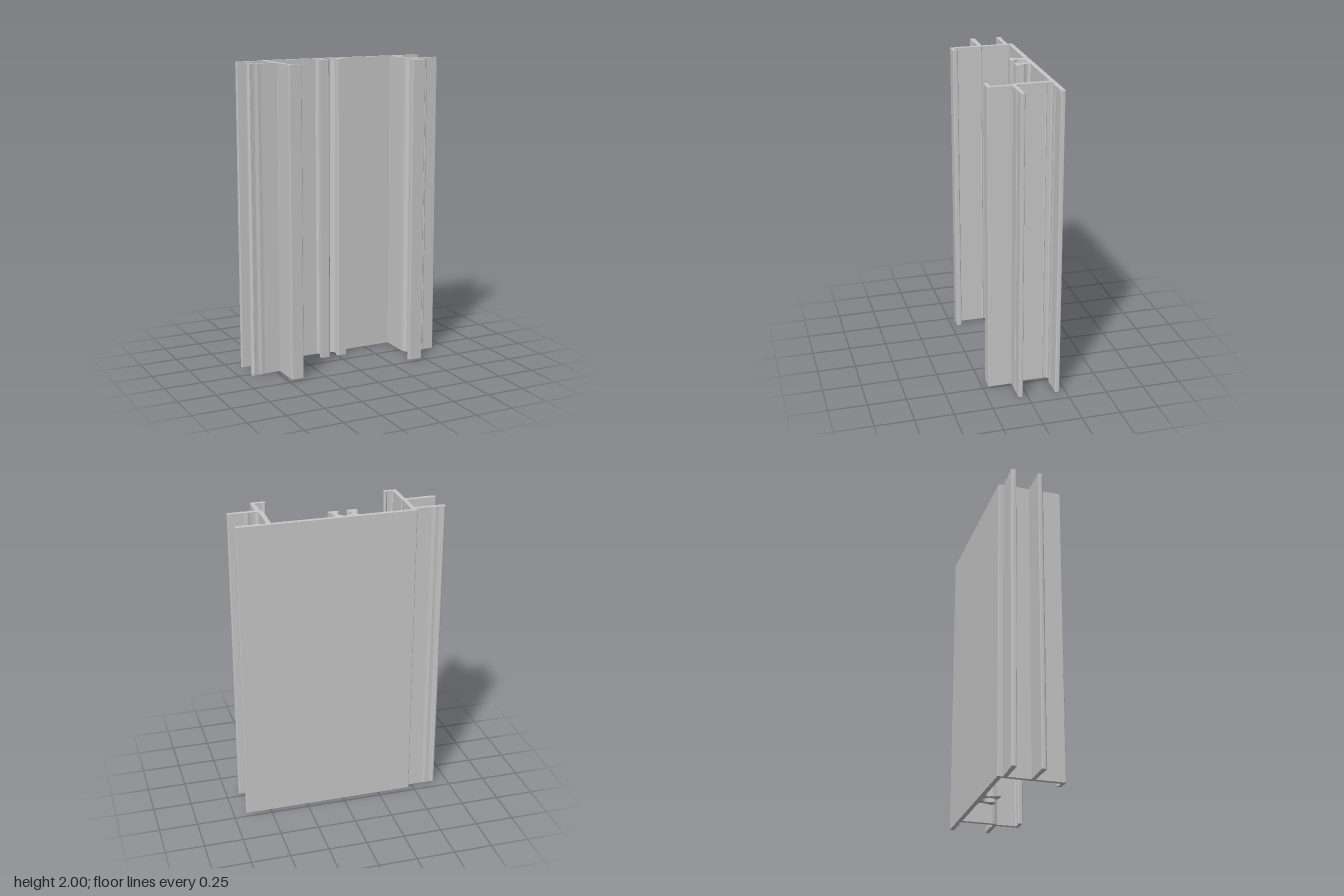
import * as THREE from 'three';

const HEIGHT = 2;

export function createModel() {
  const group = new THREE.Group();
  const aluminium = new THREE.MeshStandardMaterial({ color: 0xc7c7c7 });
  aluminium.name = 'light grey aluminium';

  // Extrudes a plan outline of [x, z] points up to the full height
  function profile(name, points) {
    const shape = new THREE.Shape(points.map(([x, z]) => new THREE.Vector2(x, -z)));
    const extruded = new THREE.ExtrudeGeometry(shape, { depth: HEIGHT, bevelEnabled: false });
    extruded.rotateX(-Math.PI / 2);
    const mesh = new THREE.Mesh(extruded, aluminium);
    mesh.name = name;
    group.add(mesh);
  }

  // Points along an arc in plan, angles in degrees from +x towards +z,
  // in fine steps so that the flat faces beside it stay evenly shaded
  function arc(cx, cz, r, from, to) {
    const steps = Math.ceil(Math.abs(to - from) / 12);
    return Array.from({ length: steps + 1 }, (_, i) => {
      const a = THREE.MathUtils.degToRad(from + (to - from) * i / steps);
      return [cx + r * Math.cos(a), cz + r * Math.sin(a)];
    });
  }

  // Face plate, with a small groove and ridge behind its right overhang
  profile('facePlate', [
    ...arc(-0.464, -0.206, 0.006, 180, 270), ...arc(0.659, -0.206, 0.006, 270, 360),
    ...arc(0.659, -0.189, 0.006, 0, 90),
    [0.56, -0.183], [0.548, -0.179], [0.538, -0.179], [0.525, -0.184], [0.508, -0.187],
    [0.495, -0.191], [0.482, -0.189], [0.472, -0.183], [-0.47, -0.183],
  ]);

  // Left wall ending in an inward hook
  profile('leftWall', [
    [-0.47, -0.183], [-0.443, -0.183], [-0.443, 0.002], [-0.439, 0.007], [-0.443, 0.012],
    [-0.443, 0.18], [-0.436, 0.187], [-0.406, 0.187], [-0.401, 0.183],
    ...arc(-0.393, 0.184, 0.008, 180, 360),
    ...arc(-0.391, 0.204, 0.006, 0, 90), ...arc(-0.464, 0.204, 0.006, 90, 180),
  ]);

  // Two fins on the left, mirror images with a rounded bead at the tip
  const finSide = [
    [-0.47, -0.014], [-0.47, 0.014], [-0.572, 0.014], [-0.582, 0.015], [-0.592, 0.017],
    [-0.602, 0.018], [-0.612, 0.016], [-0.624, 0.015], [-0.634, 0.017],
    ...arc(-0.651, 0.005, 0.015, 60, 180), ...arc(-0.66, -0.008, 0.006, 180, 270),
  ];
  for (const [name, z, side] of [['leftBackFin', -0.166, -1], ['leftFrontFin', 0.009, 1]]) {
    profile(name, finSide.map(([x, dz]) => [x, z + side * dz]));
  }

  // Right wall, stepping outwards before its inward hook
  profile('rightWall', [
    [0.443, -0.183], [0.472, -0.183], [0.472, -0.16], [0.475, -0.155], [0.472, -0.15],
    [0.472, 0.012], [0.478, 0.025], [0.487, 0.032], [0.487, 0.204],
    ...arc(0.481, 0.204, 0.006, 0, 90), ...arc(0.399, 0.204, 0.006, 90, 180),
    ...arc(0.401, 0.184, 0.008, 180, 360),
    [0.409, 0.183], [0.414, 0.187], [0.453, 0.187], [0.46, 0.18], [0.46, 0.056],
    [0.453, 0.045], [0.446, 0.032], [0.443, 0.016],
  ]);

  // Single fin on the right
  profile('rightFin', [
    [0.487, 0.032], [0.505, 0.033], [0.525, 0.03], [0.538, 0.025], [0.548, 0.025],
    [0.56, 0.031], ...arc(0.659, 0.037, 0.006, 270, 360),
    ...arc(0.659, 0.052, 0.006, 0, 90),
    [0.588, 0.058], [0.583, 0.061], [0.576, 0.061], [0.572, 0.058], [0.487, 0.058],
  ]);

  // Screw channel: two mirrored claws around an open round bore
  const claw = [
    [0, -0.183], [0.082, -0.183], [0.073, -0.177], [0.068, -0.168], [0.07, -0.155],
    [0.077, -0.14], [0.077, -0.125], [0.072, -0.115], [0.092, -0.115], [0.092, -0.085],
    [0.034, -0.085], [0.027, -0.091], [0.027, -0.105], [0.031, -0.112],
    ...arc(0, -0.137, 0.042, 32, -55), [0.014, -0.178], [0, -0.182],
  ];
  for (const [name, side] of [['rightScrewClaw', -1], ['leftScrewClaw', 1]]) {
    profile(name, claw.map(([x, z]) => [-0.025 + side * x, z]));
  }

  return group;
}
